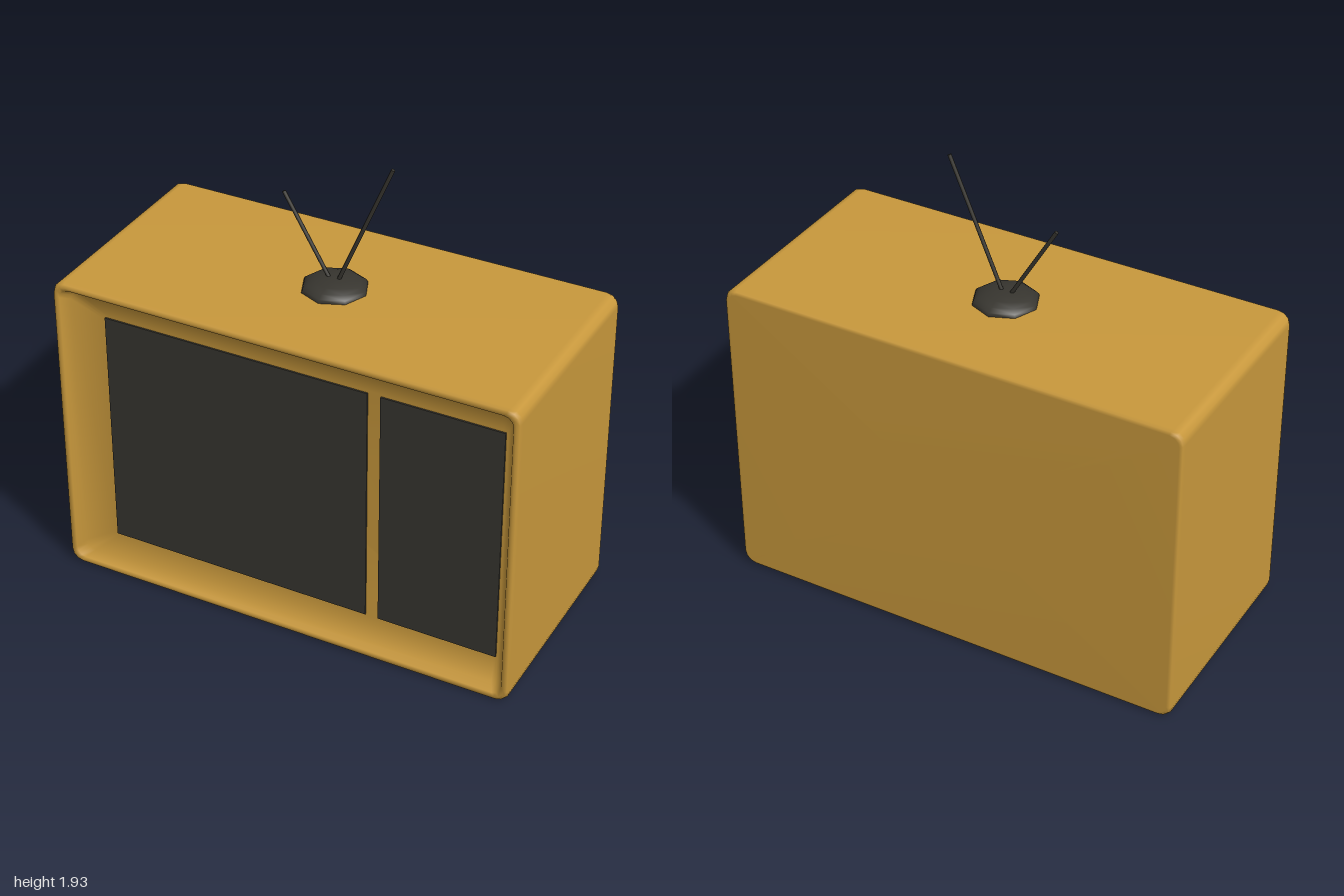
import * as THREE from 'three';

const cabinetPaint = new THREE.MeshStandardMaterial({ color: 0xc8983c });
cabinetPaint.name = 'ochre cabinet';
const darkPlastic = new THREE.MeshStandardMaterial({ color: 0x37352f });
darkPlastic.name = 'charcoal plastic';

const H = 1.355; // cabinet height

// Counter-clockwise rounded rectangle, four points per corner
function ring([x0, x1, y0, y1, z, r]) {
  const corners = [[x1 - r, y0 + r, -90], [x1 - r, y1 - r, 0], [x0 + r, y1 - r, 90], [x0 + r, y0 + r, 180]];
  return corners.flatMap(([cx, cy, start]) => [0, 1, 2, 3].map((k) => {
    const a = THREE.MathUtils.degToRad(start + k * 30);
    return [cx + r * Math.cos(a), cy + r * Math.sin(a), z];
  }));
}

// Skin joining the rings in order, closed with a fan at both ends
function loft(sections) {
  const n = 16, last = sections.length - 1;
  const points = sections.flatMap(ring);
  const index = [];
  for (let i = 0; i < last; i++) {
    for (let j = 0; j < n; j++) {
      const a = i * n + j, b = i * n + (j + 1) % n;
      index.push(a, b, b + n, a, b + n, a + n);
    }
  }
  const middle = ([x0, x1, y0, y1, z]) => [(x0 + x1) / 2, (y0 + y1) / 2, z];
  const back = points.push(middle(sections[0])) - 1;
  const front = points.push(middle(sections[last])) - 1;
  for (let j = 0; j < n; j++) {
    const k = (j + 1) % n;
    index.push(back, k, j, front, last * n + j, last * n + k);
  }
  const geometry = new THREE.BufferGeometry();
  geometry.setAttribute('position', new THREE.Float32BufferAttribute(points.flat(), 3));
  geometry.setIndex(index);
  geometry.computeVertexNormals();
  return geometry;
}

function add(group, name, geometry, material) {
  const mesh = new THREE.Mesh(geometry, material);
  mesh.name = name;
  group.add(mesh);
  return mesh;
}

function antenna(group, name, from, to) {
  const a = new THREE.Vector3(...from), b = new THREE.Vector3(...to);
  const dir = b.clone().sub(a);
  const rod = add(group, name, new THREE.CylinderGeometry(0.008, 0.008, dir.length(), 8), darkPlastic);
  rod.position.copy(a).add(b).multiplyScalar(0.5);
  rod.quaternion.setFromUnitVectors(new THREE.Vector3(0, 1, 0), dir.normalize());
}

export function createModel() {
  const tv = new THREE.Group();
  tv.name = 'television';

  // Cabinet: back, sides, thin front rim, then the recessed face
  const e = 0.018;
  add(tv, 'cabinet', loft([
    [-1 + e, 1 - e, e, H - e, -0.47, 0.04],
    [-1 + 0.005, 1 - 0.005, 0.005, H - 0.005, -0.464, 0.05],
    [-1, 1, 0, H, -0.45, 0.05],
    [-1, 1, 0, H, 0.45, 0.05],
    [-1 + 0.005, 1 - 0.005, 0.005, H - 0.005, 0.465, 0.05],
    [-1 + e, 1 - e, e, H - e, 0.47, 0.04],
    [-0.97, 0.97, 0.03, H - 0.03, 0.465, 0.04],
    [-0.945, 0.95, 0.05, H - 0.05, 0.425, 0.04],
    [-0.82, 0.92, 0.14, 1.21, 0.39, 0.02],
  ]), cabinetPaint);

  // Screen and control panel
  for (const [name, x0, x1] of [['screen', -0.81, 0.345], ['controlPanel', 0.4, 0.912]]) {
    const plate = add(tv, name, new THREE.BoxGeometry(x1 - x0, 1.05, 0.008), darkPlastic);
    plate.position.set((x0 + x1) / 2, 0.675, 0.393);
  }

  // Eight-sided aerial base and its two rods
  const base = add(tv, 'antennaBase', new THREE.SphereGeometry(1, 8, 5, 0, Math.PI * 2, 0, Math.PI / 2), darkPlastic);
  base.scale.set(0.137, 0.05, 0.137);
  base.position.y = H - 0.002;
  antenna(tv, 'rightAntenna', [-0.01, 1.37, 0], [-0.22, 1.725, 0]);
  antenna(tv, 'leftAntenna', [0.006, 1.37, 0], [0.245, 1.93, 0]);

  return tv;
}
